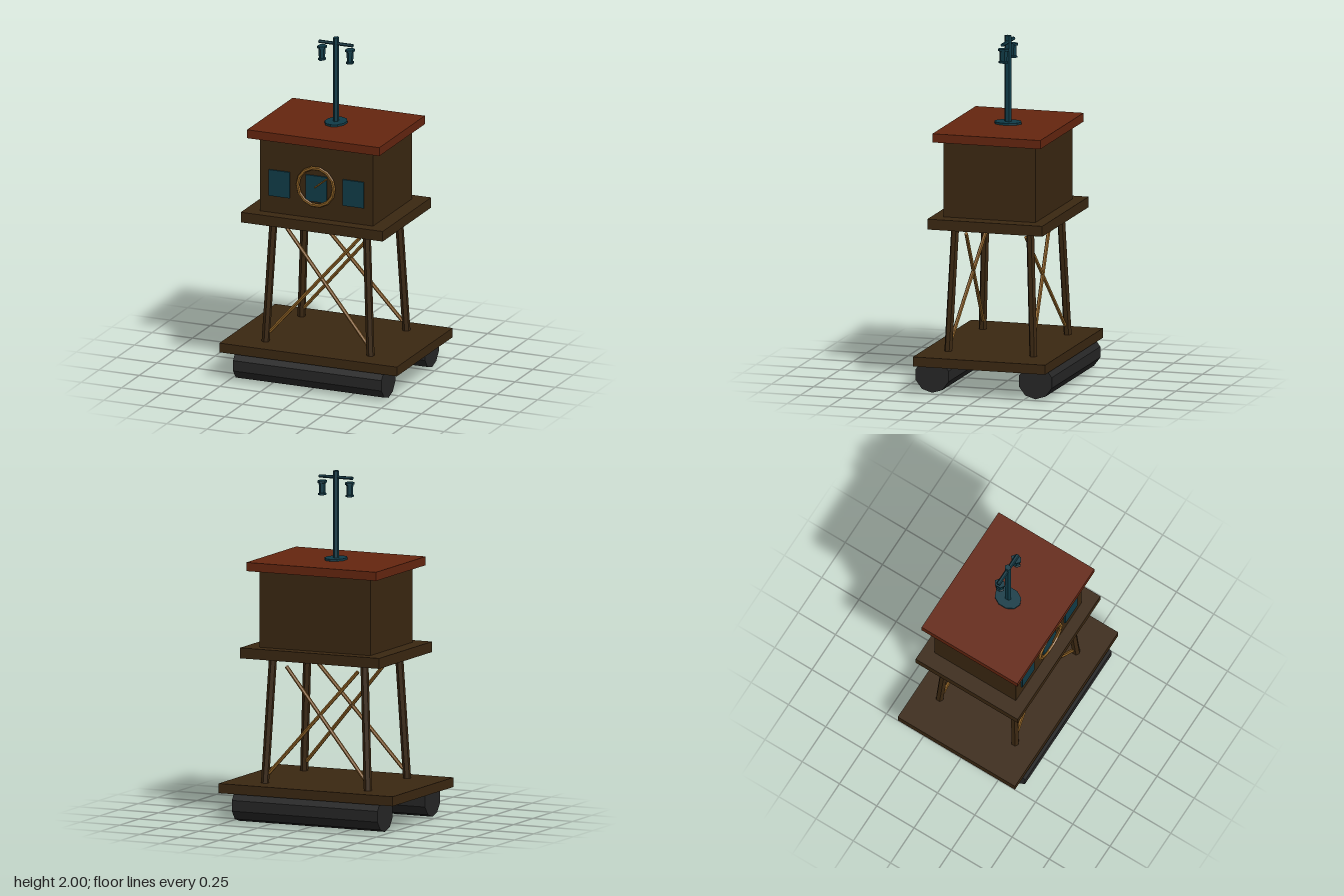
import * as THREE from 'three';

const mat = (name, color) => {
  const m = new THREE.MeshStandardMaterial({ color, flatShading: true });
  m.name = name;
  return m;
};

export function createModel() {
  const wood = mat('dark wood', 0x3a2711);
  const roofRed = mat('rust red', 0x64250f);
  const teal = mat('dark teal', 0x103b47);
  const brass = mat('brass', 0x8c6024);
  const rubber = mat('charcoal', 0x262626);

  const model = new THREE.Group();
  model.name = 'floatingWatchtower';

  const add = (name, geometry, material, x = 0, y = 0, z = 0, parent = model) => {
    const mesh = new THREE.Mesh(geometry, material);
    mesh.name = name;
    mesh.position.set(x, y, z);
    parent.add(mesh);
    return mesh;
  };
  // Box spanning y0..y1, centred on x and z
  const slab = (name, w, d, y0, y1, material) =>
    add(name, new THREE.BoxGeometry(w, y1 - y0, d), material, 0, (y0 + y1) / 2, 0);
  // Straight round bar between two points
  const bar = (name, a, b, radius, sides, material) => {
    const from = new THREE.Vector3(...a), to = new THREE.Vector3(...b);
    const dir = to.clone().sub(from);
    const mesh = add(name, new THREE.CylinderGeometry(radius, radius, dir.length(), sides), material);
    mesh.position.copy(from).lerp(to, 0.5);
    mesh.quaternion.setFromUnitVectors(new THREE.Vector3(0, 1, 0), dir.normalize());
    return mesh;
  };

  // Pontoons
  for (const s of [1, -1]) {
    const geo = new THREE.CylinderGeometry(0.1, 0.1, 0.92, 10, 1, false, Math.PI / 2);
    geo.rotateZ(Math.PI / 2).scale(1, 1, 1.03);
    add('pontoon', geo, rubber, 0, 0.1, s * 0.307);
  }

  // Decks, cabin and roof
  slab('raftDeck', 1.1, 0.786, 0.165, 0.22, wood);
  slab('upperPlatform', 0.88, 0.684, 0.94, 1.0, wood);
  slab('cabin', 0.7, 0.546, 1.0, 1.44, wood);
  slab('roof', 0.82, 0.642, 1.44, 1.49, roofRed);

  // Splayed legs and crossed braces
  for (const z of [1, -1]) {
    for (const x of [1, -1]) {
      bar('leg', [x * 0.326, 0.2, z * 0.254], [x * 0.288, 0.96, z * 0.222], 0.023, 6, wood);
      bar('brace', [x * 0.305, 0.275, z * 0.244], [x * -0.226, 0.885, z * 0.178], 0.011, 6, brass);
    }
  }

  // Front windows
  for (const x of [-0.23, 0, 0.23]) {
    add('window', new THREE.BoxGeometry(0.13, 0.155, 0.009), teal, x, 1.178, 0.2775);
  }

  // Dial ring and pointer
  add('dialRing', new THREE.TorusGeometry(0.112, 0.011, 6, 14), brass, 0, 1.192, 0.285);
  bar('dialPointer', [0, 1.192, 0.3], [0.073, 1.25, 0.3], 0.006, 6, brass);

  // Mast with a crossbar and two hanging lanterns
  const mast = new THREE.Group();
  mast.name = 'mast';
  mast.scale.z = 1.28;
  model.add(mast);
  add('mastBase', new THREE.CylinderGeometry(0.063, 0.063, 0.018, 10), teal, 0, 1.493, 0, mast);
  add('mastPole', new THREE.CylinderGeometry(0.0165, 0.0165, 0.51, 6), teal, 0, 1.745, 0, mast);
  const crossbar = new THREE.CylinderGeometry(0.0095, 0.0095, 0.21, 6).rotateZ(Math.PI / 2);
  add('crossbar', crossbar, teal, 0, 1.963, 0, mast);
  const profile = [[0, 0], [0.022, 0], [0.022, 0.01], [0.017, 0.012], [0.019, 0.068],
    [0.026, 0.07], [0.026, 0.083], [0, 0.083]].map(([r, y]) => new THREE.Vector2(r, y));
  for (const s of [1, -1]) {
    add('lantern', new THREE.LatheGeometry(profile, 6), teal, s * 0.087, 1.856, 0, mast);
  }

  return model;
}
